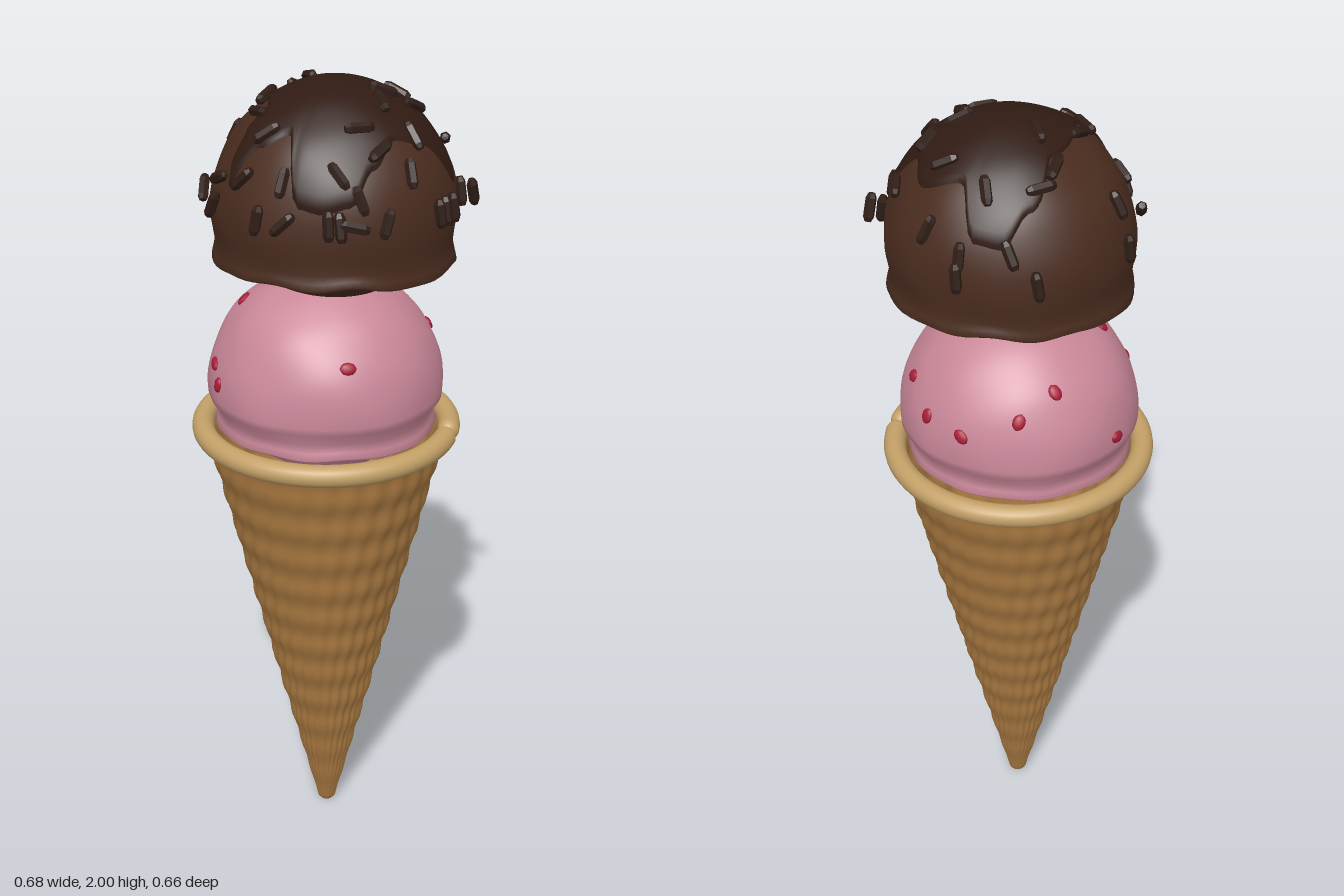
import * as THREE from 'three';
import { mergeVertices } from 'three/addons/utils/BufferGeometryUtils.js';

const R = 0.285;                                        // scoop radius
const TOP = new THREE.Vector3(0.01, 1.7, 0.014);        // upper scoop centre
const LOW = new THREE.Vector3(-0.014, 1.25, 0);         // lower scoop centre
const material = (color, extra = {}) => new THREE.MeshStandardMaterial({ color, ...extra });

function addMesh(parent, name, geometry, mat) {
  const mesh = new THREE.Mesh(geometry, mat);
  mesh.name = name;
  parent.add(mesh);
  return mesh;
}

// Weld the seams, move every vertex by a rule and rebuild smooth normals
function reshape(geometry, rule) {
  geometry.deleteAttribute('uv');
  geometry.deleteAttribute('normal');
  const g = mergeVertices(geometry, 1e-5);
  const p = g.attributes.position;
  const v = new THREE.Vector3();
  for (let i = 0; i < p.count; i++) {
    rule(v.fromBufferAttribute(p, i));
    p.setXYZ(i, v.x, v.y, v.z);
  }
  g.computeVertexNormals();
  return g;
}

// Gentle lumps on the ice cream, as a factor of the radius
const lump = (d) => 1 + 0.009 * Math.sin(5 * d.x + 4 * d.y + 1) * Math.cos(4 * d.z - 3 * d.y)
  + 0.004 * Math.sin(11 * d.z + 7 * d.x) * Math.sin(9 * d.y + 2);

// Scoop: a ball with a ragged skirt and a rounder underside
function scoopGeometry(skirtY, skirtR, wave) {
  const profile = [[0, -0.2], [0.08, -0.195], [0.14, -0.175], [0.19, -0.14], [0.215, skirtY + 0.02],
    [skirtR - 0.025, skirtY + 0.004], [skirtR - 0.006, skirtY - 0.002], [skirtR, skirtY + 0.004],
    [skirtR - 0.004, skirtY + 0.022], [skirtR - 0.009, skirtY + 0.045]]
    .map(([x, y]) => new THREE.Vector2(x, y));
  const start = Math.acos((skirtY + 0.08) / R);
  for (let i = 0; i <= 28; i++) {
    const a = start * (1 - i / 28);
    profile.push(new THREE.Vector2(R * Math.sin(a), R * Math.cos(a)));
  }
  const dir = new THREE.Vector3();
  return reshape(new THREE.LatheGeometry(profile, 80), (v) => {
    dir.copy(v).normalize();
    const r = Math.hypot(v.x, v.z);
    const phi = Math.atan2(v.z, v.x);
    const skirt = r > 0.2 ? THREE.MathUtils.clamp((skirtY + 0.06 - v.y) / 0.05, 0, 1) : 0;
    v.multiplyScalar(lump(dir));
    v.y += skirt * wave * (1 - Math.cos(2 * phi) + 0.4 * Math.sin(7 * phi) + 0.3 * Math.sin(11 * phi + 1));
  });
}

// Outline of the sauce: [azimuth in degrees from +x to +z, horizontal reach]
const SAUCE = [[0, 0.28], [18, 0.235], [38, 0.215], [56, 0.25], [68, 0.278], [82, 0.281], [94, 0.279],
  [106, 0.2], [122, 0.23], [136, 0.277], [146, 0.16], [180, 0.145], [220, 0.15], [248, 0.235],
  [262, 0.27], [276, 0.267], [290, 0.2], [318, 0.23], [340, 0.21], [360, 0.28]];

function sauceAngle(phi) {
  const deg = (THREE.MathUtils.radToDeg(phi) + 360) % 360;
  const i = Math.max(1, SAUCE.findIndex((s) => s[0] >= deg));
  const [a, b] = [SAUCE[i - 1], SAUCE[i]];
  const t = THREE.MathUtils.smoothstep(deg, a[0], b[0]);
  return Math.asin(THREE.MathUtils.lerp(a[1], b[1], t) / R);
}

function sauceGeometry() {
  const half = new THREE.SphereGeometry(1, 120, 28, 0, Math.PI * 2, 0, Math.PI / 2);
  return reshape(half, (v) => {
    const t = Math.acos(THREE.MathUtils.clamp(v.y, -1, 1)) / (Math.PI / 2);
    const phi = Math.atan2(v.z, v.x);
    const theta = t * sauceAngle(phi);
    v.set(Math.sin(theta) * Math.cos(phi), Math.cos(theta), Math.sin(theta) * Math.sin(phi));
    const thickness = THREE.MathUtils.lerp(0.006, -0.004, THREE.MathUtils.smoothstep(t, 0.9, 1));
    v.multiplyScalar(R * lump(v) + thickness);
  });
}

// Sprinkles: [x, z, heading in degrees seen from above]
const SPRINKLES = [[-0.11, -0.28, 20], [-0.045, -0.257, 30], [0.065, -0.262, 100], [0.068, -0.28, 60],
  [0.145, -0.218, -30], [-0.093, -0.16, -35], [0.02, -0.19, 70], [0.125, -0.122, 0], [-0.112, -0.107, 100],
  [0.248, -0.08, 80], [-0.275, -0.08, 10], [-0.243, -0.053, 10], [-0.06, -0.035, 60], [0.187, -0.02, 120],
  [0.122, 0.013, -25], [0.3, -0.01, 30], [0.328, -0.012, 110], [-0.14, 0.04, 110], [-0.274, 0.103, 80],
  [-0.138, 0.115, 45], [0.13, 0.072, 55], [0.21, 0.1, 35], [0.305, 0.107, 0], [0.295, 0.135, 10],
  [0.285, 0.16, 0], [-0.215, 0.177, 45], [-0.22, 0.215, 30], [-0.098, 0.192, -10], [-0.143, 0.237, 10],
  [0.105, 0.173, -30], [0.155, 0.19, 120], [0.22, 0.17, 60], [0.187, 0.255, 120], [0.08, 0.26, 20],
  [0.13, 0.265, 20], [-0.042, 0.275, 110], [-0.095, 0.3, -30], [-0.032, 0.315, 0], [0.067, 0.303, 60],
  [0.095, 0.305, 40], [0.125, 0.298, -20]];

function addSprinkles(parent) {
  const group = new THREE.Group();
  group.name = 'sprinkles';
  const profile = [[0, -0.034], [0.008, -0.033], [0.013, -0.022], [0.013, 0.022], [0.008, 0.033], [0, 0.034]];
  const geometry = new THREE.LatheGeometry(profile.map(([x, y]) => new THREE.Vector2(x, y)), 6);
  const mat = material(0x2f1d16, { flatShading: true });
  const reach = R + 0.009;
  for (const [x, z, heading] of SPRINKLES) {
    const dx = x - TOP.x, dz = z - TOP.z;
    const h = Math.sqrt(Math.max(reach ** 2 - dx * dx - dz * dz, 0.045 ** 2));
    const n = new THREE.Vector3(dx, h, dz).normalize();
    const a = THREE.MathUtils.degToRad(heading);
    const d = new THREE.Vector3(Math.cos(a), 0, Math.sin(a));
    d.y = -d.dot(n) / n.y;                              // lay it along the surface
    const s = addMesh(group, 'sprinkle', geometry, mat);
    s.position.set(x, TOP.y + h, z);
    s.quaternion.setFromUnitVectors(new THREE.Vector3(0, 1, 0), d.normalize());
  }
  parent.add(group);
}

function addBerries(parent) {
  const group = new THREE.Group();
  group.name = 'berryPieces';
  const geometry = new THREE.IcosahedronGeometry(0.02, 1);
  const mat = material(0xa81c38);
  // Directions from the centre of the lower scoop
  const spots = [[0.11, 0.135, 0.23], [-0.21, 0.04, 0.18], [-0.23, 0.075, 0.14], [0.08, 0.07, -0.26],
    [-0.05, 0.12, -0.25], [-0.12, 0.17, -0.19], [-0.187, 0.208, 0.047], [-0.25, 0.02, -0.12],
    [0.23, 0.125, -0.12], [0.17, 0.08, -0.21]];
  spots.forEach((p, i) => {
    const n = new THREE.Vector3(...p).normalize();
    const b = addMesh(group, 'berryPiece', geometry, mat);
    b.position.copy(LOW).addScaledVector(n, R * lump(n));
    b.quaternion.setFromUnitVectors(new THREE.Vector3(0, 0, 1), n);
    b.rotateZ(i * 1.3);
    b.scale.set(1, 0.75, 0.4);
  });
  parent.add(group);
}

// Cone with raised diamond bumps that twist around it
function coneGeometry() {
  const profile = [new THREE.Vector2(0, 0), new THREE.Vector2(0.016, 0)];
  for (let i = 0; i <= 110; i++) {
    const y = 0.008 + 1.122 * i / 110;
    profile.push(new THREE.Vector2(0.02 + 0.242 * y, y));
  }
  return reshape(new THREE.LatheGeometry(profile, 144), (v) => {
    const r = Math.hypot(v.x, v.z);
    if (r < 0.018) return;
    const phi = Math.atan2(v.z, v.x);
    const bump = Math.cos(14 * phi + 42 * v.y) * Math.cos(14 * phi - 24 * v.y);
    const k = 1 + Math.min(0.0055, 0.05 * r) * bump / r;
    v.x *= k;
    v.z *= k;
  });
}

// Rolled rim with rounded ends that meet in a small notch at +x
function addRim(parent) {
  const group = new THREE.Group();
  group.name = 'coneRim';
  group.position.y = 1.138;
  const mat = material(0xc3a067);
  const gap = 0.084, major = 0.301, minor = 0.027;
  const ring = new THREE.TorusGeometry(major, minor, 18, 96, Math.PI * 2 - 2 * gap);
  ring.rotateX(Math.PI / 2).rotateY(-gap);
  addMesh(group, 'rimRoll', ring, mat);
  for (const side of [-1, 1]) {
    const end = addMesh(group, 'rimEnd', new THREE.SphereGeometry(minor, 18, 14), mat);
    end.position.set(major * Math.cos(gap), 0, side * major * Math.sin(gap));
  }
  parent.add(group);
}

export function createModel() {
  const model = new THREE.Group();
  model.name = 'iceCreamCone';

  const wafer = new THREE.Group();
  wafer.name = 'wafer';
  wafer.position.x = -0.013;
  addMesh(wafer, 'waffleCone', coneGeometry(), material(0xa87840, { side: THREE.DoubleSide }));
  addRim(wafer);
  model.add(wafer);

  addMesh(model, 'lowerScoop', scoopGeometry(-0.1, 0.27, 0.004), material(0xc98798)).position.copy(LOW);
  addBerries(model);
  addMesh(model, 'upperScoop', scoopGeometry(-0.125, 0.286, 0.009), material(0x4a2c1f)).position.copy(TOP);
  addMesh(model, 'sauce', sauceGeometry(), material(0x301b13, { side: THREE.DoubleSide })).position.copy(TOP);
  addSprinkles(model);
  return model;
}
